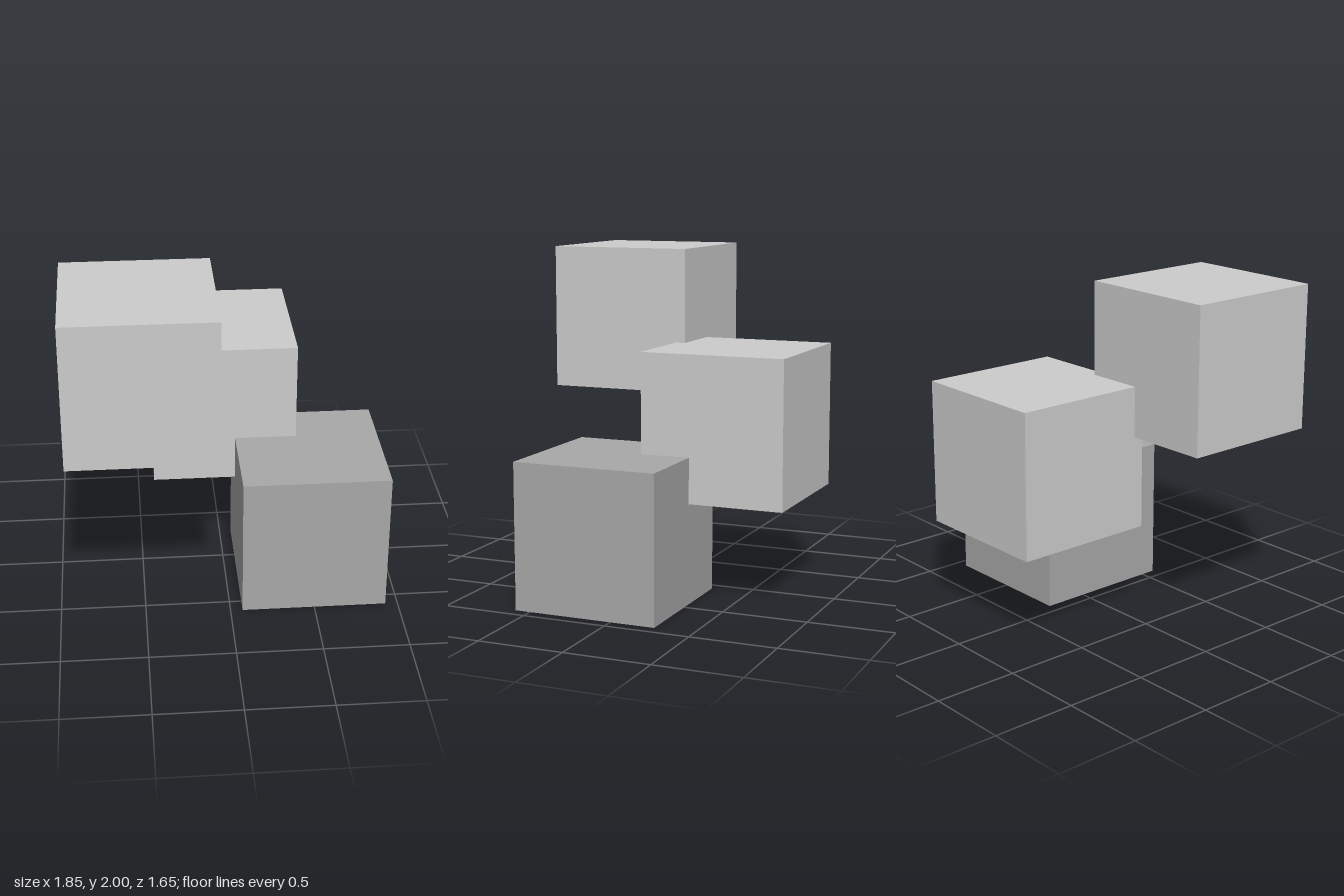
import * as THREE from 'three';

const SIZE = 0.856;

// Three equal cubes rising in a staggered stair
const CUBES = [
  { name: 'lowerCube', center: [0.499, 0.428, 0.162], color: 0xa8a8a8 },
  { name: 'middleCube', center: [0.009, 1.016, -0.398], color: 0xcccccc },
  { name: 'upperCube', center: [-0.499, 1.572, 0.398], color: 0xcccccc },
];

export function createModel() {
  const group = new THREE.Group();
  group.name = 'staggeredCubes';
  const geometry = new THREE.BoxGeometry(SIZE, SIZE, SIZE);

  for (const { name, center, color } of CUBES) {
    const cube = new THREE.Mesh(geometry, new THREE.MeshStandardMaterial({ color }));
    cube.name = name;
    cube.position.set(...center);
    group.add(cube);
  }
  return group;
}
